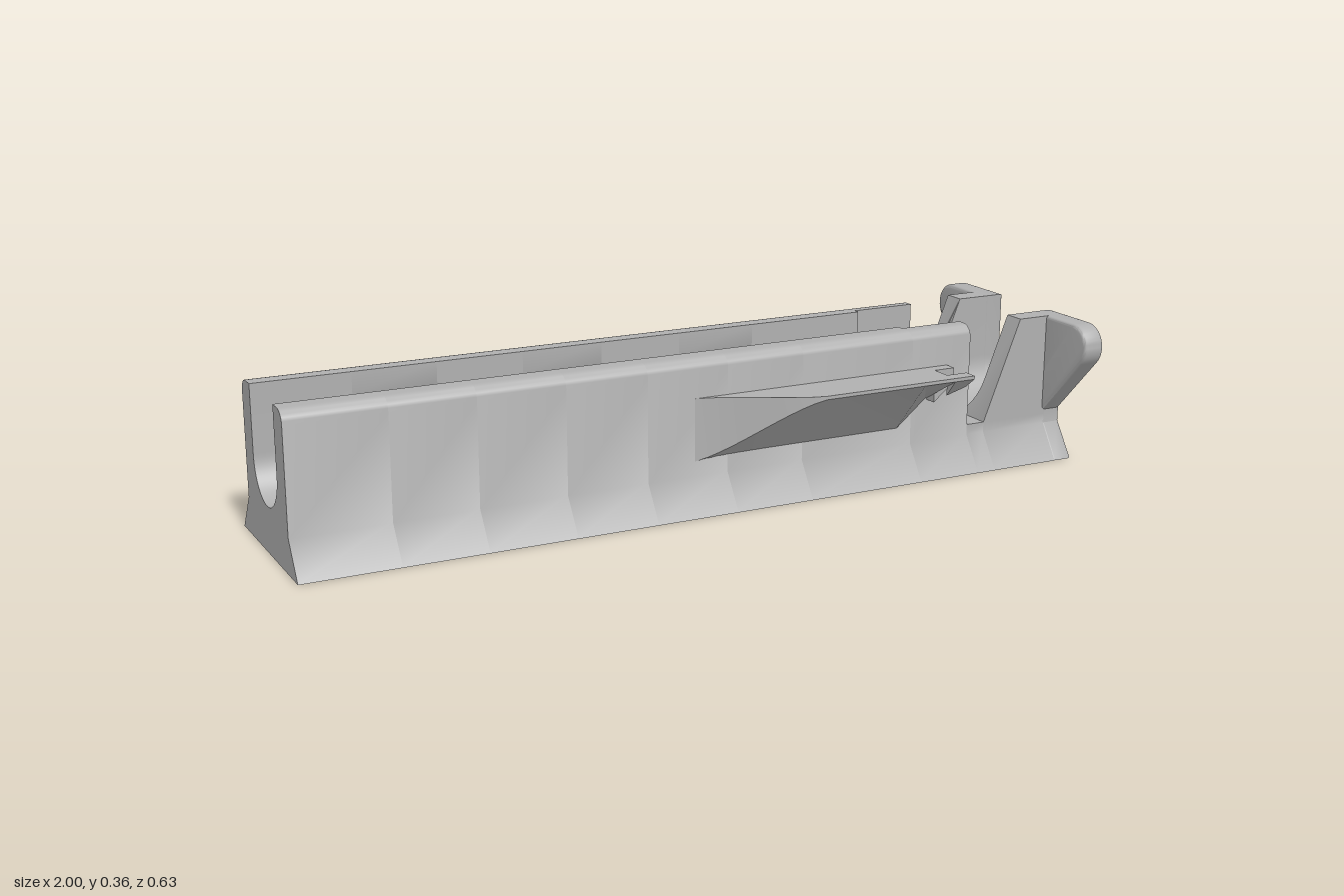
import * as THREE from 'three';
import { toCreasedNormals } from 'three/addons/utils/BufferGeometryUtils.js';

const grey = new THREE.MeshStandardMaterial({ color: 0xb0b0b0 });
grey.name = 'grey plastic';

const FOOT = [[0.213, 0], [0.157, 0.085]];

// Points on an arc, angles in degrees
function arc(cx, cy, r, from, to, n) {
  return Array.from({ length: n + 1 }, (_, i) => {
    const a = THREE.MathUtils.degToRad(from + ((to - from) * i) / n);
    return [cx + r * Math.cos(a), cy + r * Math.sin(a)];
  });
}

// Half of the round channel, from the wall down to the middle
const channel = (r) => arc(0, 0.203, r, 0, -90, 14);

// Mirror a half outline and extrude it along x
function slice(group, name, half, x0, x1, { bevel = 0, lean = 0 } = {}) {
  const mirrored = half.filter(([z]) => z > 1e-4).reverse().map(([z, y]) => [-z, y]);
  const shape = new THREE.Shape([...half, ...mirrored].map(([z, y]) => new THREE.Vector2(z, y)));
  const geo = new THREE.ExtrudeGeometry(shape, {
    depth: x1 - x0 - 2 * bevel,
    bevelEnabled: bevel > 0,
    bevelSize: bevel,
    bevelThickness: bevel,
    bevelOffset: -bevel,
    bevelSegments: 3,
  });
  geo.rotateY(Math.PI / 2).translate(x0 + bevel, 0, 0);
  if (lean) {
    // slope the starting face backwards above the notch floor
    const p = geo.attributes.position;
    for (let i = 0; i < p.count; i++) {
      if (p.getX(i) < x0 + 0.001) p.setX(i, x0 + lean * Math.max(0, p.getY(i) - 0.11));
    }
  }
  const mesh = new THREE.Mesh(toCreasedNormals(geo, 0.6), grey);
  mesh.name = name;
  group.add(mesh);
}

// Loft of four-cornered sections [x, zInner, zOuter, yInnerLow, yOuterLow, yTop]
function loft(sections, side) {
  const pos = [];
  const rings = sections.map(([x, zi, zo, yi, yo, yt]) => [
    [x, yt, zi * side], [x, yt, zo * side], [x, yo, zo * side], [x, yi, zi * side],
  ]);
  const quad = (a, b, c, d) => {
    const q = side > 0 ? [a, b, c, a, c, d] : [a, c, b, a, d, c];
    q.forEach((v) => pos.push(...v));
  };
  for (let i = 0; i + 1 < rings.length; i++) {
    const a = rings[i], b = rings[i + 1];
    for (let k = 0; k < 4; k++) {
      const n = (k + 1) % 4;
      quad(a[k], a[n], b[n], b[k]);
    }
  }
  const first = rings[0], last = rings[rings.length - 1];
  quad(first[3], first[2], first[1], first[0]);
  quad(last[0], last[1], last[2], last[3]);
  const geo = new THREE.BufferGeometry();
  geo.setAttribute('position', new THREE.Float32BufferAttribute(pos, 3));
  geo.computeVertexNormals();
  return toCreasedNormals(geo, 0.4);
}

// Wing section: flat top, sloping underside, tail cut off at a slant
function wingSection(x, zi, zo) {
  const cut = 0.12 + Math.max(0, x - 0.51) * 0.82;
  const low = (z) => Math.min(0.265, Math.max(cut, 0.12 + (z - 0.157) * 1.2));
  return [x, zi, zo, low(zi), low(zo), 0.27];
}

export function createModel() {
  const model = new THREE.Group();
  model.name = 'clipRail';

  const shoulder = [...FOOT, ...arc(0.127, 0.332, 0.03, 0, 90, 6).map(([z, y]) => [z, y])];
  const rail = (r) => [...shoulder, [r, 0.362], ...channel(r)];

  // Rail stretches with a catch and pocket on both walls
  const catchProfile = [
    ...shoulder, [0.093, 0.362], [0.093, 0.31], [0.115, 0.255], [0.093, 0.247],
    [0.082, 0.237], [0.078, 0.227], [0.082, 0.217], [0.093, 0.205],
    [0.09, 0.19], [0.09, 0.119],
    ...channel(0.093).filter(([z]) => z < 0.042),
  ];

  // Long rail, alternating plain and catch stretches
  let x = -1;
  for (const start of [-0.77, -0.36, 0.045]) {
    slice(model, 'rail', rail(0.093), x, start);
    slice(model, 'railCatch', catchProfile, start, start + 0.2);
    x = start + 0.2;
  }
  slice(model, 'rail', rail(0.093), x, 0.55);
  slice(model, 'railSocket', rail(0.108), 0.55, 0.717);

  // Notch floor, sloped saddle and winged end plate
  slice(model, 'notchFloor', [...FOOT, [0.157, 0.11], [0, 0.11]], 0.717, 0.767);
  slice(model, 'endSaddle',
    [...FOOT, [0.157, 0.11], [0.157, 0.362], [0.103, 0.362], ...channel(0.103)],
    0.767, 0.95, { lean: 0.39 });
  slice(model, 'endPlate',
    [...FOOT, [0.157, 0.12], ...arc(0.26, 0.307, 0.055, -45, 90, 14), [0.103, 0.362], ...channel(0.103)],
    0.945, 1, { bevel: 0.008 });

  // Side wings with a forked tail
  const flare = Array.from({ length: 11 }, (_, i) => {
    const t = i / 10;
    const ease = 0.35 * t + 0.65 * t * t * (3 - 2 * t);
    return wingSection(-0.04 + 0.28 * t, 0.15, 0.157 + 0.118 * ease);
  });
  const parts = {
    wing: [...flare, wingSection(0.51, 0.15, 0.275), wingSection(0.595, 0.15, 0.275)],
    wingInnerProng: [wingSection(0.595, 0.15, 0.188), wingSection(0.65, 0.15, 0.188)],
    wingOuterProng: [wingSection(0.595, 0.24, 0.275), wingSection(0.65, 0.24, 0.275)],
  };
  for (const side of [1, -1]) {
    for (const [name, sections] of Object.entries(parts)) {
      const mesh = new THREE.Mesh(loft(sections, side), grey);
      mesh.name = (side > 0 ? 'front ' : 'back ') + name;
      model.add(mesh);
    }
  }
  return model;
}
